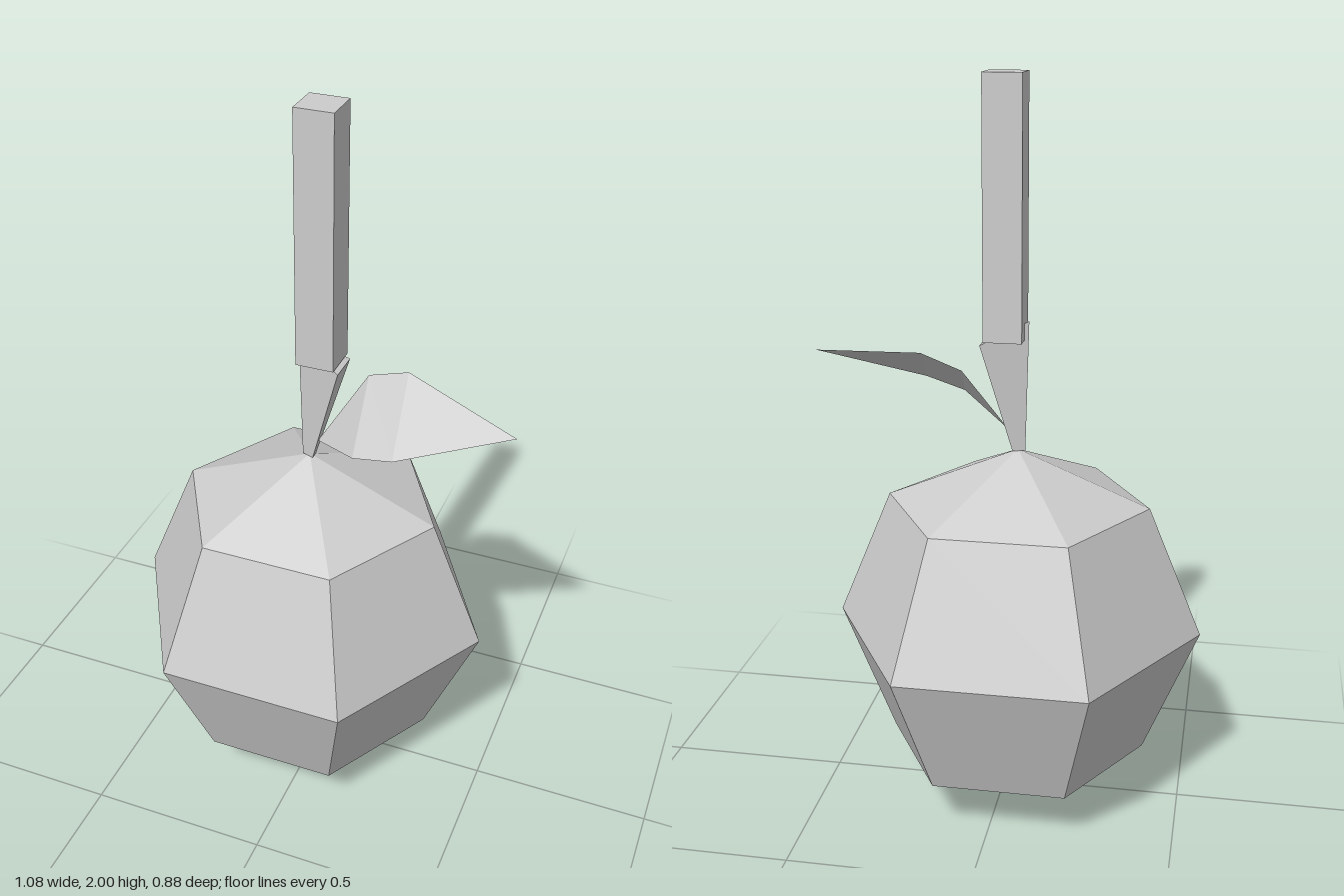
import * as THREE from 'three';

export function createModel() {
  const model = new THREE.Group();
  const grey = new THREE.MeshStandardMaterial({ color: 0xcccccc, flatShading: true });
  grey.name = 'plain grey';
  const greyLeaf = grey.clone();
  greyLeaf.side = THREE.DoubleSide;

  const add = (name, geometry, material, x = 0, y = 0, z = 0) => {
    const mesh = new THREE.Mesh(geometry, material);
    mesh.name = name;
    mesh.position.set(x, y, z);
    model.add(mesh);
  };

  // Faceted fruit body
  add('fruit', new THREE.SphereGeometry(0.508, 6, 4), grey, -0.036, 0.51, 0);

  // Square post on top
  add('post', new THREE.BoxGeometry(0.103, 0.68, 0.103), grey, -0.002, 1.66, 0);

  // Three-sided stem, narrow at the foot, leaning and slanted at the top
  const stem = new THREE.CylinderGeometry(0.083, 0.022, 1, 3, 1, false, -Math.PI / 2);
  const p = stem.attributes.position;
  for (let i = 0; i < p.count; i++) {
    const x = p.getX(i), top = p.getY(i) > 0;
    p.setXYZ(i, x + (top ? 0.018 : -0.034), top ? 1.33 - 0.48 * x : 1.015, p.getZ(i) * 0.63);
  }
  add('stem', stem, grey);

  // Folded leaf: a fan of flat strips from base to tip
  const base = [-0.01, 1.07, 0.005], tip = [0.54, 1.25, 0.07];
  const back = [[0.1, 1.25, -0.08], [0.213, 1.29, -0.068]];
  const front = [[0.137, 1.135, 0.14], [0.25, 1.165, 0.16]];
  const faces = [
    base, front[0], back[0],
    back[0], front[0], front[1],
    back[0], front[1], back[1],
    back[1], front[1], tip,
  ];
  const leaf = new THREE.BufferGeometry();
  leaf.setAttribute('position', new THREE.Float32BufferAttribute(faces.flat(), 3));
  leaf.computeVertexNormals();
  add('leaf', leaf, greyLeaf);

  return model;
}
